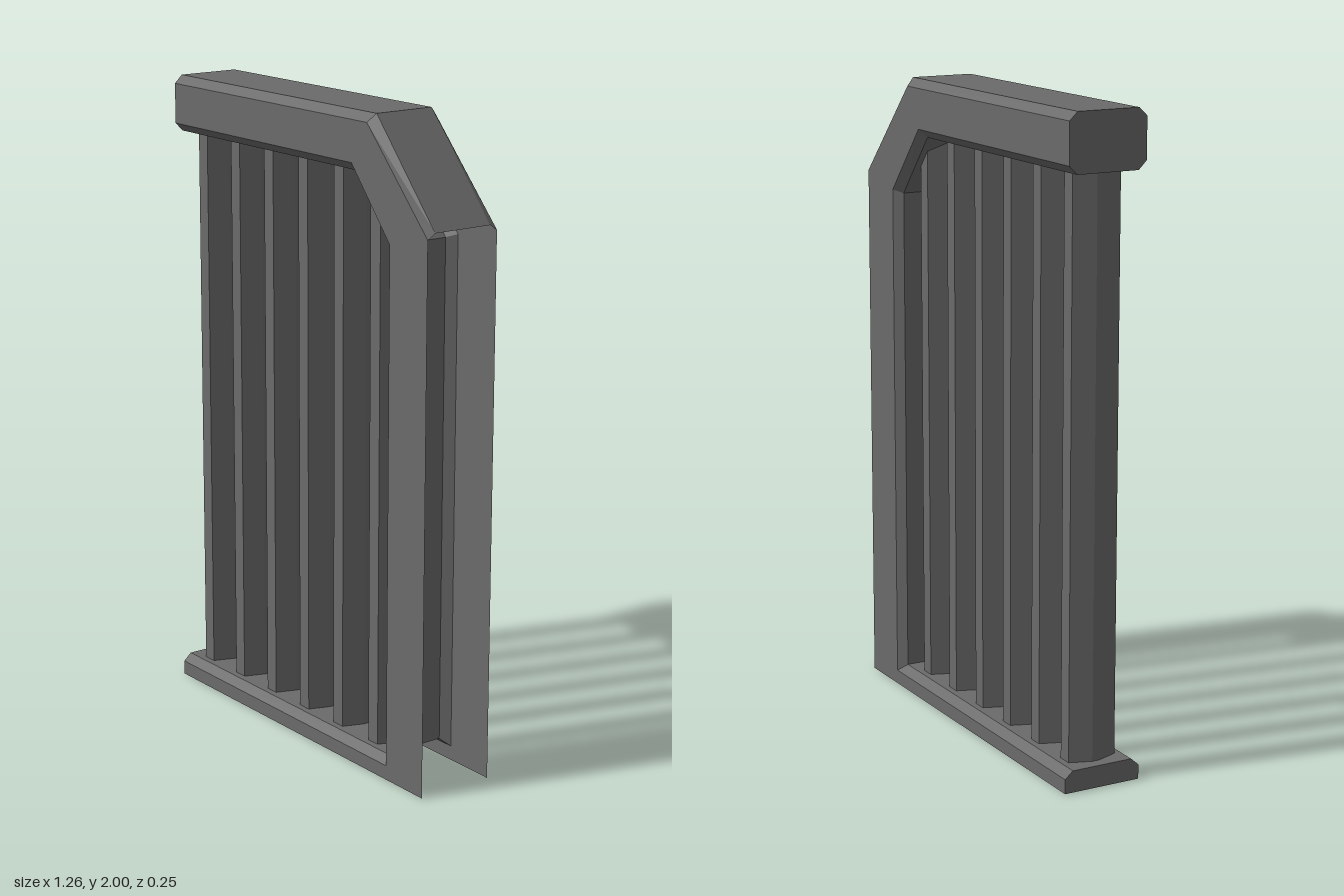
import * as THREE from 'three';

const DEPTH = 0.126; // half depth at the flat front and back panels
const RIDGE = 0.1;   // half depth where the bevels end
const LEFT = -0.632, RIGHT = 0.632;

const material = new THREE.MeshStandardMaterial({
  color: 0x6b6b6b, flatShading: true, side: THREE.DoubleSide,
});

function addMesh(parent, geometry, name) {
  const mesh = new THREE.Mesh(geometry, material);
  mesh.name = name;
  parent.add(mesh);
  return mesh;
}

const shapeOf = (points) => new THREE.Shape(points.map(([x, y]) => new THREE.Vector2(x, y)));

// Bevelled band: panel edge, ridge, ridge, panel edge, swept along two matching paths
function bevelBand(edgePath, ridgePath) {
  const positions = [], index = [];
  edgePath.forEach(([ex, ey], i) => {
    const [rx, ry] = ridgePath[i];
    positions.push(ex, ey, DEPTH, rx, ry, RIDGE, rx, ry, -RIDGE, ex, ey, -DEPTH);
    if (i === 0) return;
    for (let j = 0; j < 3; j++) {
      const a = (i - 1) * 4 + j, b = i * 4 + j;
      index.push(a, b, b + 1, a, b + 1, a + 1);
    }
  });
  const geometry = new THREE.BufferGeometry();
  geometry.setAttribute('position', new THREE.Float32BufferAttribute(positions, 3));
  geometry.setIndex(index);
  const flat = geometry.toNonIndexed();
  flat.computeVertexNormals();
  return flat;
}

// Flat end facing -x, given as [z, y] corners
function endCap(points) {
  return new THREE.ShapeGeometry(shapeOf(points)).rotateY(-Math.PI / 2).translate(LEFT, 0, 0);
}

// Upright bar, narrow flats at the front and back, long bevels to slim side flats
function slatGeometry(halfX, halfZ, flatX, flatZ, bottom, top) {
  const outline = shapeOf([
    [-flatX, -halfZ], [flatX, -halfZ], [halfX, -flatZ], [halfX, flatZ],
    [flatX, halfZ], [-flatX, halfZ], [-halfX, flatZ], [-halfX, -flatZ],
  ]);
  return new THREE.ExtrudeGeometry(outline, { depth: top - bottom, bevelEnabled: false })
    .rotateX(-Math.PI / 2).translate(0, bottom, 0);
}

export function createModel() {
  const model = new THREE.Group();
  model.name = 'slattedPanel';

  const frame = new THREE.Group();
  frame.name = 'frame';
  model.add(frame);

  // Edges of the flat panels, and the ridges the bevels lead to
  const outerEdge = [[LEFT, 1.975], [0.352, 1.975], [RIGHT, 1.68]];
  const outerRidge = [[LEFT, 2], [0.364, 2], [RIGHT, 1.697]];
  const innerEdge = [[LEFT, 0.045], [0.46, 0.045], [0.46, 1.64], [0.28, 1.85], [LEFT, 1.85]];
  const innerRidge = [[LEFT, 0.068], [0.435, 0.068], [0.435, 1.63], [0.27, 1.824], [LEFT, 1.824]];

  // Front and back panels
  const panel = new THREE.ShapeGeometry(
    shapeOf([...outerEdge, [RIGHT, 0], [LEFT, 0], ...innerEdge])
  ).translate(0, 0, DEPTH);
  addMesh(frame, panel, 'frontPanel');
  addMesh(frame, panel, 'backPanel').scale.z = -1;

  // Outer and inner walls; the underside and the post side stay open
  addMesh(frame, bevelBand(outerEdge, outerRidge), 'outerWall');
  addMesh(frame, bevelBand(innerEdge, innerRidge), 'innerWall');

  // Closed ends of the top beam and bottom rail
  addMesh(frame, endCap([
    [-RIDGE, 1.824], [RIDGE, 1.824], [DEPTH, 1.85], [DEPTH, 1.975],
    [RIDGE, 2], [-RIDGE, 2], [-DEPTH, 1.975], [-DEPTH, 1.85],
  ]), 'topBeamEnd');
  addMesh(frame, endCap([
    [-DEPTH, 0], [DEPTH, 0], [DEPTH, 0.045], [RIDGE, 0.068], [-RIDGE, 0.068], [-DEPTH, 0.045],
  ]), 'bottomRailEnd');

  // Row of upright slats
  const slats = new THREE.Group();
  slats.name = 'slats';
  model.add(slats);
  const slat = slatGeometry(0.047, 0.079, 0.023, 0.012, 0.068, 1.824);
  for (let i = 0; i < 6; i++) {
    addMesh(slats, slat, `slat${i + 1}`).position.x = -0.548 + i * 0.1765;
  }

  return model;
}
